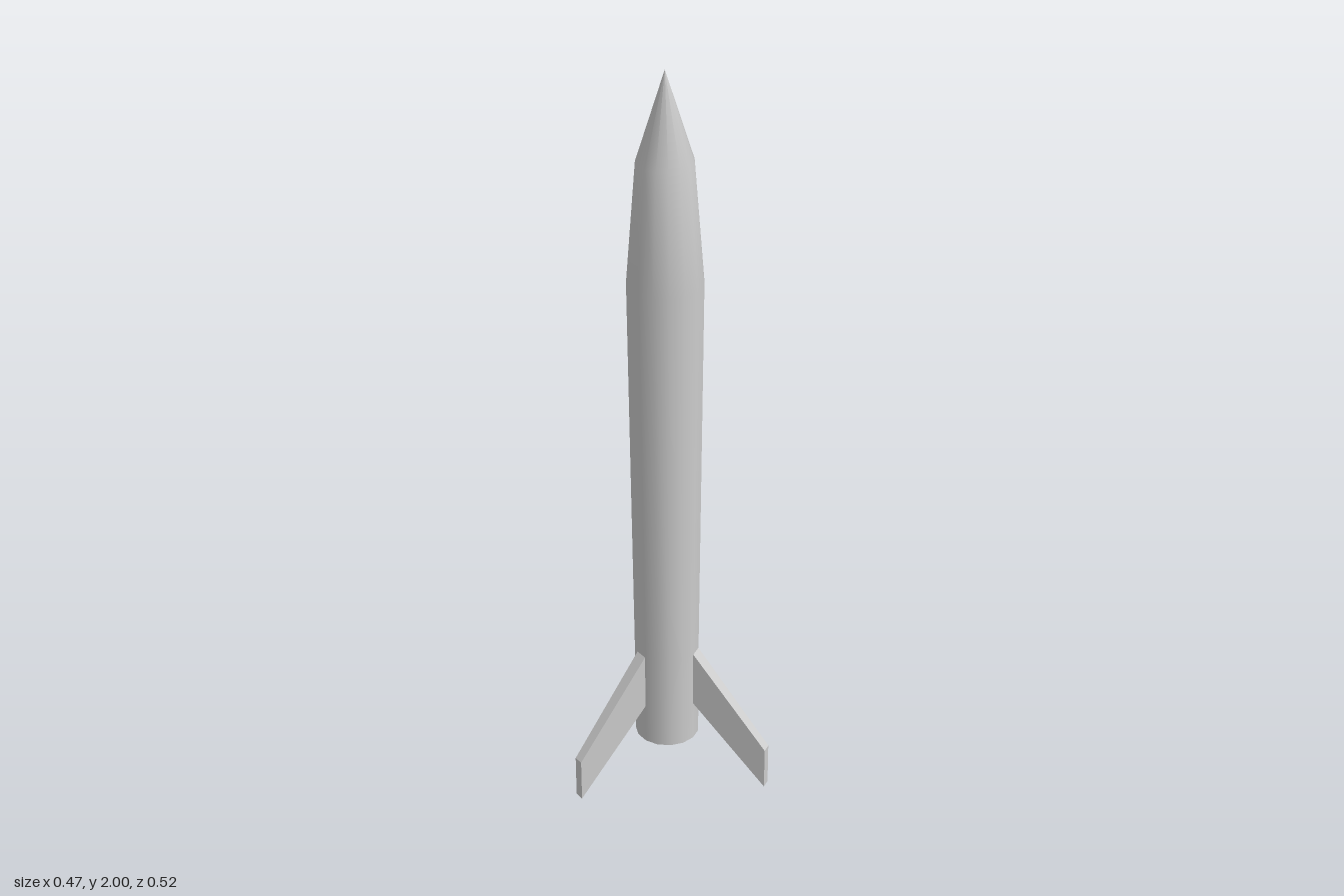
import * as THREE from 'three';

const material = new THREE.MeshStandardMaterial({ color: 0xcccccc });
const SIDES = 15;

// Swept fin: a box whose corners are moved to the root and tip sections
function finGeometry() {
  const root = { r: 0.07, top: 0.395, bottom: 0.233, half: 0.0175 };
  const tip = { r: 0.292, top: 0.12, bottom: 0, half: 0.013 };
  const geometry = new THREE.BoxGeometry(1, 1, 1);
  const p = geometry.attributes.position;
  for (let i = 0; i < p.count; i++) {
    const s = p.getX(i) > 0 ? tip : root;
    p.setXYZ(i, s.r, p.getY(i) > 0 ? s.top : s.bottom, Math.sign(p.getZ(i)) * s.half);
  }
  geometry.computeVertexNormals();
  return geometry;
}

export function createModel() {
  const model = new THREE.Group();
  model.name = 'rocket';
  // The uneven fin spread puts the body axis off centre
  model.position.set(0, 0, 0);
  const rocket = new THREE.Group();
  rocket.name = 'rocketAssembly';
  rocket.position.set(-0.055, 0, -0.016);
  model.add(rocket);

  // Hull with pointed nose
  const profile = [[0.086, 0.105], [0.086, 0.38], [0.097, 1.45], [0.072, 1.77], [0, 2]]
    .map(([r, y]) => new THREE.Vector2(r, y));
  const hull = new THREE.Mesh(new THREE.LatheGeometry(profile, SIDES, Math.PI), material);
  hull.name = 'hull';
  rocket.add(hull);

  // Flat base
  const base = new THREE.Mesh(new THREE.CircleGeometry(0.086, SIDES, Math.PI / 2), material);
  base.name = 'base';
  base.rotation.x = Math.PI / 2;
  base.position.y = 0.105;
  // Turn the disc so that its corners meet those of the hull
  base.rotation.z = Math.PI;
  rocket.add(base);

  // Three fins, evenly spaced
  const fin = finGeometry();
  for (let i = 0; i < 3; i++) {
    const mesh = new THREE.Mesh(fin, material);
    mesh.name = `fin${i + 1}`;
    mesh.rotation.y = THREE.MathUtils.degToRad(5.9 + i * 120);
    rocket.add(mesh);
  }
  return model;
}
